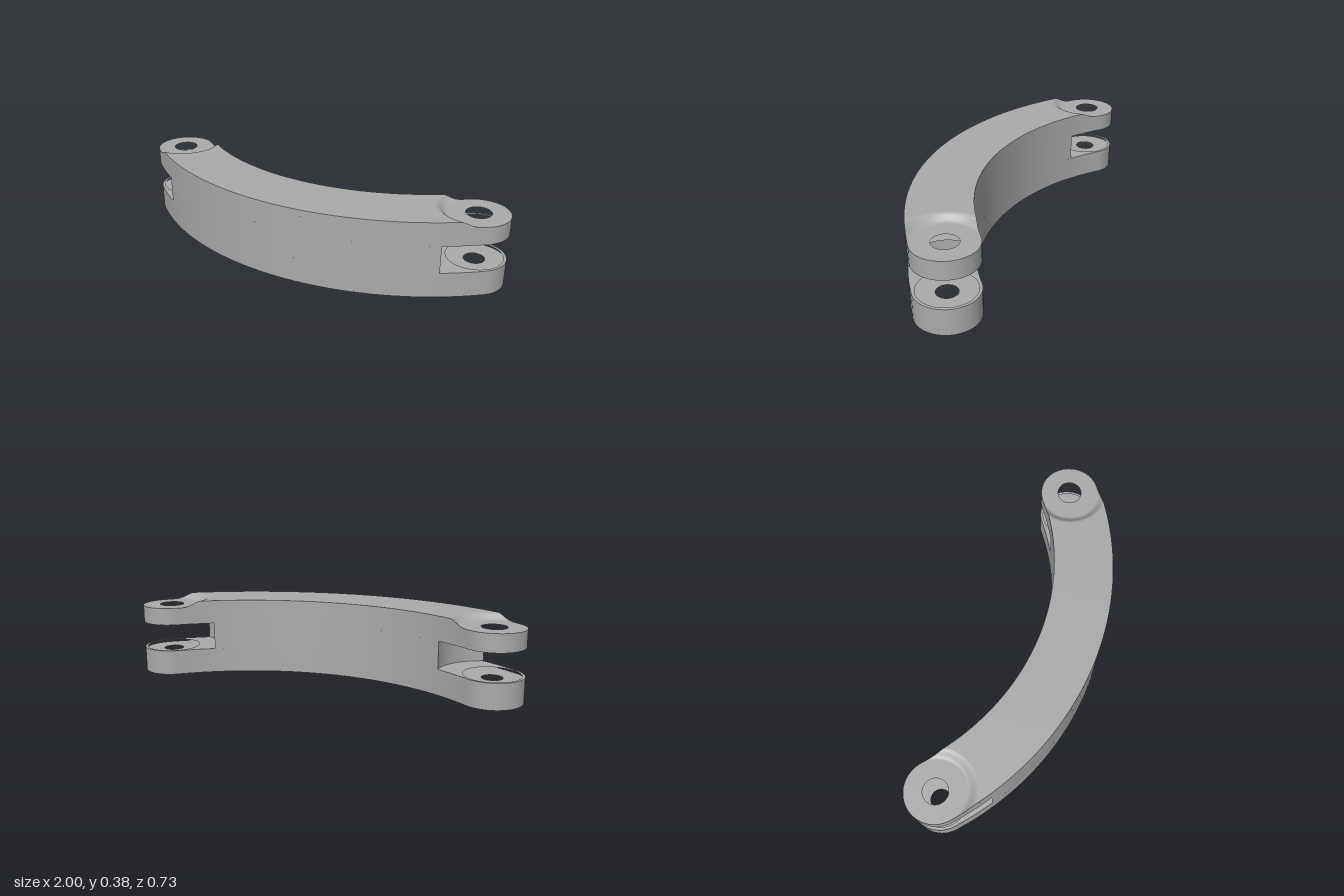
import * as THREE from 'three';
import { mergeGeometries, toCreasedNormals } from 'three/addons/utils/BufferGeometryUtils.js';

// Plan: a band of constant width bent on a circle, with a round fork at each end
const CX = -0.13, CZ = -1.13, R = 1.34, HALF = 0.15;
const START = Math.atan2(-0.72, 1.13), END = Math.atan2(0.98, 0.915);
const OUT = R + HALF, IN = R - HALF;
const lerp = THREE.MathUtils.lerp;
const plan = (rho, a) => [CX + rho * Math.sin(a), CZ + rho * Math.cos(a)];

// Smooth surface patch; faces point along du x dv
function grid(fn, nu, nv) {
  const pos = [], index = [], w = nv + 1;
  for (let i = 0; i <= nu; i++) for (let j = 0; j <= nv; j++) pos.push(...fn(i / nu, j / nv));
  for (let i = 0; i < nu; i++) for (let j = 0; j < nv; j++) {
    const a = i * w + j, b = a + w;
    index.push(a, b, b + 1, a, b + 1, a + 1);
  }
  const g = new THREE.BufferGeometry();
  g.setAttribute('position', new THREE.Float32BufferAttribute(pos, 3));
  g.setIndex(index);
  g.computeVertexNormals();
  return g;
}

// Full outline with a round hole at each pivot
function plate(y0, y1, holeRadius) {
  const pts = [], N = 64, M = 32;
  const cap = (a, sign) => {
    const [x, z] = plan(R, a), s = Math.sin(a), c = Math.cos(a);
    for (let i = 1; i < M; i++) {
      const p = HALF * sign * Math.cos(Math.PI * i / M), q = HALF * sign * Math.sin(Math.PI * i / M);
      pts.push(new THREE.Vector2(x + p * s + q * c, z + p * c - q * s));
    }
  };
  for (let i = 0; i <= N; i++) pts.push(new THREE.Vector2(...plan(OUT, lerp(START, END, i / N))));
  cap(END, 1);
  for (let i = 0; i <= N; i++) pts.push(new THREE.Vector2(...plan(IN, lerp(END, START, i / N))));
  cap(START, -1);
  const shape = new THREE.Shape(pts);
  for (const a of [START, END]) {
    const [x, z] = plan(R, a);
    shape.holes.push(new THREE.Path().absarc(x, z, holeRadius, 0, Math.PI * 2, true));
  }
  const g = new THREE.ExtrudeGeometry(shape, { depth: y1 - y0, bevelEnabled: false, curveSegments: 24 });
  g.rotateX(Math.PI / 2).translate(0, y1, 0);
  return toCreasedNormals(g, 0.6);
}

// Band between the pivots whose ends are arcs about them; its top rises smoothly from radius r0 to r1
function band(r0, r1, y0, yLow, yTop) {
  const K = 10, N = 80, V = 24;
  const offset = (rho, r) =>
    Math.acos(Math.min(1, (rho * rho + R * R - r * r) / (2 * rho * R)));
  const point = (u, v) => {
    const k = Math.round(u * N), rho = lerp(IN, OUT, v);
    const t = Math.min(1, Math.min(k, N - k) / K), d = offset(rho, lerp(r0, r1, t));
    const a = k <= K ? START + d : k >= N - K ? END - d
      : lerp(START + d, END - d, (k - K) / (N - 2 * K));
    const [x, z] = plan(rho, a);
    return [x, lerp(yLow, yTop, t * t * (3 - 2 * t)), z];
  };
  const wall = (u, v, h) => {
    const p = point(u, v);
    return [p[0], lerp(y0, p[1], h), p[2]];
  };
  return mergeGeometries([
    grid((v, u) => point(u, v), V, N),
    grid((u, h) => wall(u, 1, h), N, 1),
    grid((h, u) => wall(u, 0, h), 1, N),
    grid((v, h) => wall(0, v, h), V, 1),
    grid((h, v) => wall(1, v, h), 1, V),
  ]);
}

export function createModel() {
  const group = new THREE.Group();
  group.name = 'curvedLink';
  const grey = new THREE.MeshStandardMaterial({ color: 0xaaaaaa });
  grey.name = 'grey';
  const add = (name, geometry) => {
    const mesh = new THREE.Mesh(geometry, grey);
    mesh.name = name;
    group.add(mesh);
  };

  // Lower fork plate with shallow round recesses facing the slots
  add('lowerPlate', plate(0, 0.112, 0.05));
  add('lowerRecessRim', plate(0.112, 0.127, 0.136));
  // Core between the slots
  add('core', band(0.255, 0.255, 0.127, 0.265, 0.265));
  // Upper fork plate
  add('upperRecessRim', plate(0.265, 0.28, 0.136));
  add('upperPlate', plate(0.28, 0.353, 0.061));
  // Raised top, blending down to the pivot faces
  add('raisedTop', band(0.15, 0.2, 0.353, 0.353, 0.385));
  return group;
}
